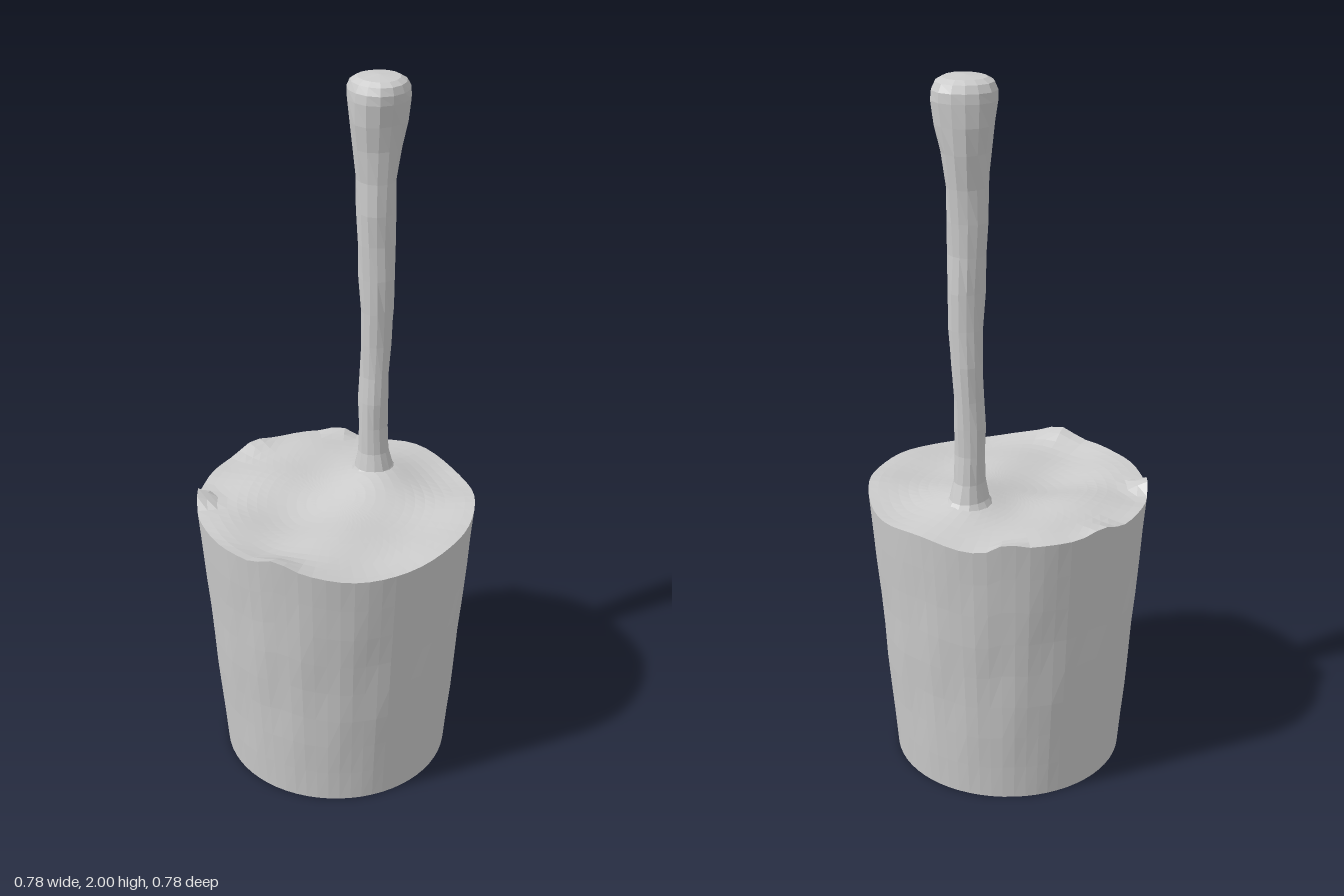
import * as THREE from 'three';

const STICK_X = 0.178;
const TOP_R = 0.39, BASE_R = 0.325;
const SIDES = 64;

// Small peaks on the surface: x, z, height, width
const PEAKS = [
  [-0.23, -0.315, 0.045, 0.028],
  [0.09, -0.38, 0.02, 0.04],
  [0.32, -0.23, 0.02, 0.025],
  [-0.38, 0.08, 0.03, 0.04],
  [-0.39, -0.03, 0.015, 0.05],
  [STICK_X, 0, 0.035, 0.075],
  [-0.06, 0.36, -0.018, 0.13],
  [-0.14, -0.05, -0.015, 0.1],
];

// Height of the rippled fill, shared by the rim and the top
function surfaceHeight(x, z) {
  let y = 0.813 + 0.006 * Math.sin(9 * x + 1) + 0.007 * Math.sin(21 * z + 4 * x)
    + 0.003 * Math.sin(23 * x - 11 * z);
  for (const [px, pz, h, w] of PEAKS) {
    y += h * Math.exp(-((x - px) ** 2 + (z - pz) ** 2) / (2 * w * w));
  }
  return y;
}

// Moves every vertex of a geometry by a rule
function reshape(geometry, rule) {
  const p = geometry.attributes.position;
  const v = new THREE.Vector3();
  for (let i = 0; i < p.count; i++) {
    v.fromBufferAttribute(p, i);
    rule(v);
    p.setXYZ(i, v.x, v.y, v.z);
  }
  geometry.computeVertexNormals();
  return geometry;
}

export function createModel() {
  const group = new THREE.Group();
  const material = new THREE.MeshStandardMaterial({
    color: 0xcccccc, flatShading: true, side: THREE.DoubleSide,
  });
  const add = (name, geometry) => {
    const mesh = new THREE.Mesh(geometry, material);
    mesh.name = name;
    group.add(mesh);
    return mesh;
  };

  // Tapered bucket wall, faintly dented, with an uneven rim
  add('bucketWall', reshape(new THREE.CylinderGeometry(1, 1, 1, SIDES, 8, true), (v) => {
    const t = v.y + 0.5;
    const a = Math.atan2(v.x, v.z);
    const rim = surfaceHeight(v.x * TOP_R, v.z * TOP_R);
    const dent = 0.003 * Math.sin(Math.PI * t) * Math.sin(7 * a + 5 * t) * Math.cos(11 * a - 9 * t);
    const r = THREE.MathUtils.lerp(BASE_R, TOP_R, t) + dent;
    v.set(v.x * r, rim * t, v.z * r);
  }));

  // Flat underside
  add('bucketBase', new THREE.CircleGeometry(BASE_R, SIDES).rotateX(Math.PI / 2));

  // Rippled fill, level with the rim
  const fill = new THREE.RingGeometry(0, TOP_R, SIDES, 14).rotateX(-Math.PI / 2);
  add('fillSurface', reshape(fill, (v) => { v.y = surfaceHeight(v.x, v.z); }));

  // Knobbly stick: flared foot, thin shaft, rounded thicker head
  const profile = [
    [0.075, 0.82], [0.055, 0.85], [0.043, 0.9], [0.04, 0.98], [0.042, 1.06],
    [0.041, 1.14], [0.044, 1.24], [0.046, 1.34], [0.049, 1.44], [0.05, 1.54],
    [0.055, 1.63], [0.057, 1.72], [0.066, 1.81], [0.076, 1.88], [0.082, 1.94],
    [0.081, 1.965], [0.072, 1.985], [0.055, 1.995], [0, 2],
  ].map(([r, y]) => new THREE.Vector2(r, y));
  const stick = reshape(new THREE.LatheGeometry(profile, 14), (v) => {
    const a = Math.atan2(v.x, v.z);
    const k = 1 + 0.04 * Math.sin(2 * a + 13 * v.y) + 0.03 * Math.cos(3 * a - 21 * v.y);
    const sway = 0.003 * Math.sin(11 * v.y);
    v.set(v.x * k + sway, v.y, v.z * k + 0.003 * Math.cos(9 * v.y));
  });
  add('stick', stick).position.x = STICK_X;

  return group;
}
